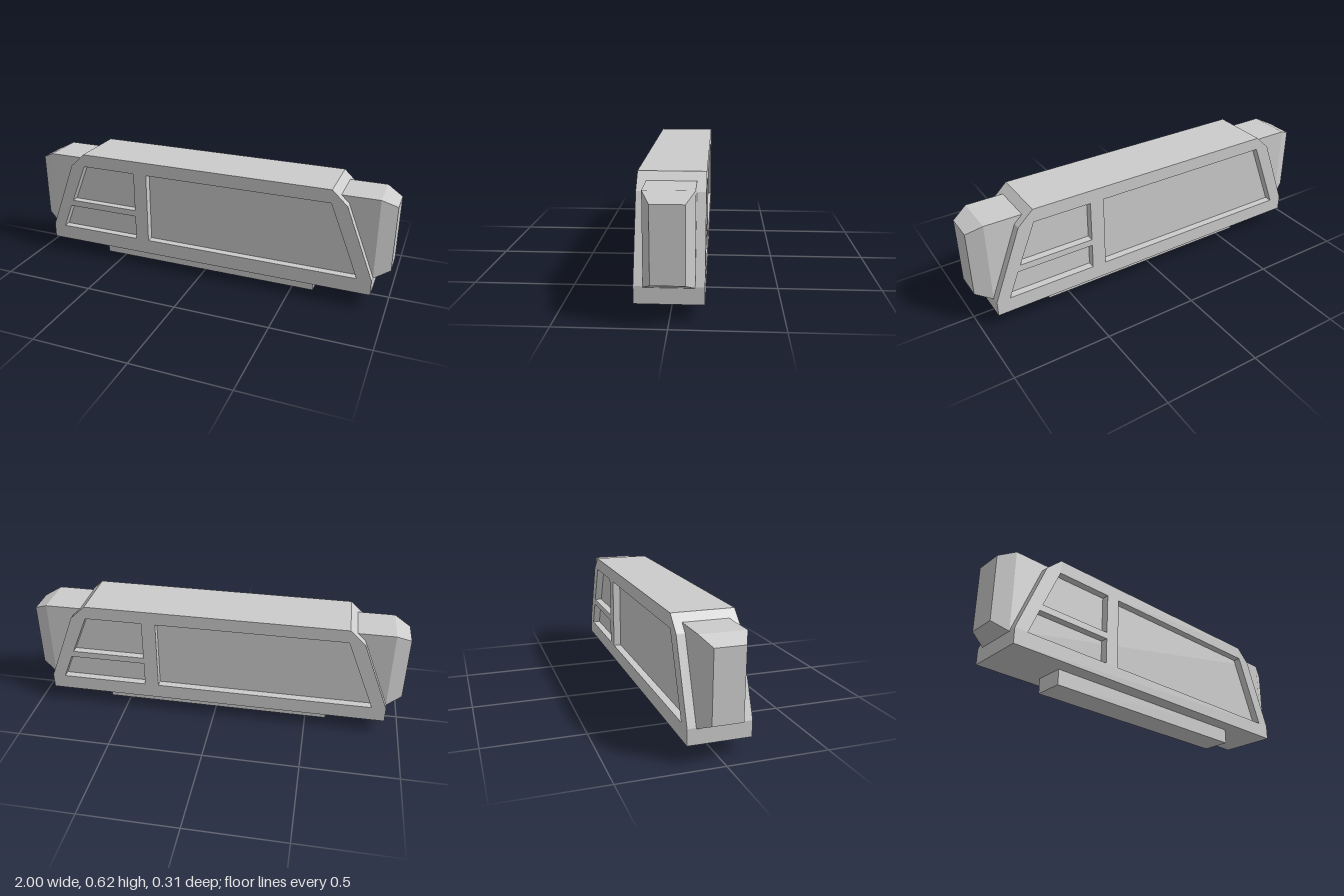
import * as THREE from 'three';

const material = new THREE.MeshStandardMaterial({ color: 0xcccccc, flatShading: true });

function add(parent, name, geometry) {
  const mesh = new THREE.Mesh(geometry, material);
  mesh.name = name;
  parent.add(mesh);
  return mesh;
}

const points = (list) => list.map(([x, y]) => new THREE.Vector2(x, y));

// Hull silhouette: flat bottom, sloping ends and chamfered roof
const half = [[0.92, 0.08], [0.92, 0.16], [0.77, 0.54], [0.69, 0.615]];
const outline = [...half, ...half.map(([x, y]) => [-x, y]).reverse()];

// Recessed panels on each broad side
const recesses = [
  [[-0.69, 0.545], [-0.385, 0.545], [-0.385, 0.33], [-0.78, 0.33]],
  [[-0.795, 0.295], [-0.385, 0.295], [-0.385, 0.16], [-0.85, 0.16]],
  [[-0.31, 0.545], [0.69, 0.545], [0.845, 0.16], [-0.31, 0.16]],
];

const HALF_DEPTH = 0.154;
const RECESS = 0.04;

function hullSlab(holes, z0, z1) {
  const shape = new THREE.Shape(points(outline));
  shape.holes = holes.map((h) => new THREE.Path(points(h)));
  return new THREE.ExtrudeGeometry(shape, { depth: z1 - z0, bevelEnabled: false }).translate(0, 0, z0);
}

// End block: straight box whose outer end tapers on all four sides
function endBlockGeometry() {
  const geometry = new THREE.BoxGeometry(2, 2, 2, 2, 1, 1);
  const p = geometry.attributes.position;
  const sections = [[0.6, 0.212, 0.112], [0.92, 0.212, 0.112], [1, 0.173, 0.074]];
  for (let i = 0; i < p.count; i++) {
    const [x, h, d] = sections[Math.round(p.getX(i)) + 1];
    p.setXYZ(i, x, 0.367 + p.getY(i) * h, p.getZ(i) * d);
  }
  const flat = geometry.toNonIndexed();
  flat.computeVertexNormals();
  return flat;
}

export function createModel() {
  const model = new THREE.Group();
  model.name = 'panelledHull';

  const inner = HALF_DEPTH - RECESS;
  add(model, 'hullCore', hullSlab([], -inner, inner));

  // The two halves repeat by a half turn about the vertical axis
  const frame = hullSlab(recesses, inner, HALF_DEPTH);
  const block = endBlockGeometry();
  add(model, 'frontFrame', frame);
  add(model, 'backFrame', frame).rotation.y = Math.PI;
  add(model, 'leftEndBlock', block);
  add(model, 'rightEndBlock', block).rotation.y = Math.PI;

  // Keel strip under the hull
  add(model, 'baseStrip', new THREE.BoxGeometry(1.225, 0.1, 0.152).translate(0, 0.05, 0));

  return model;
}
